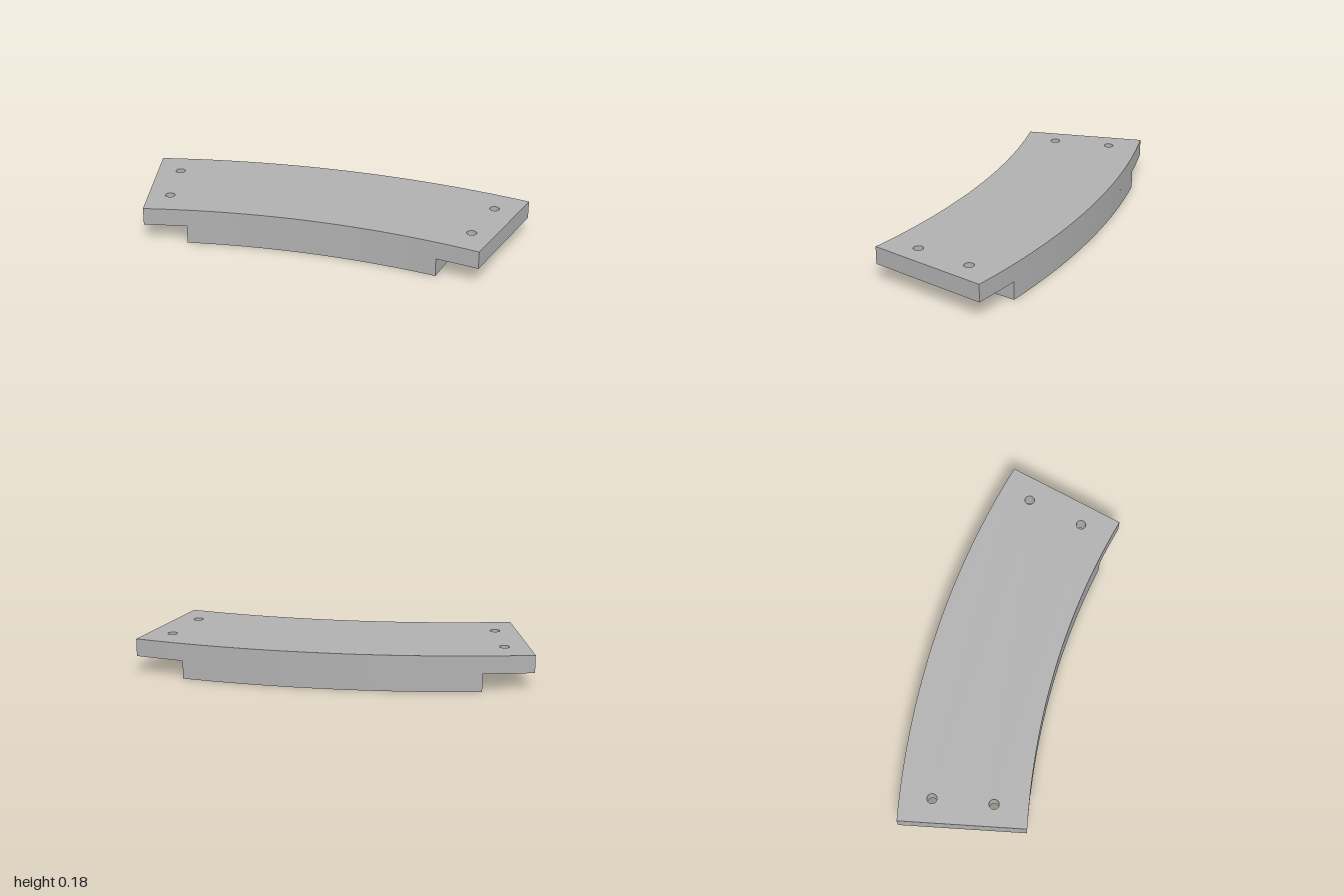
import * as THREE from 'three';

const OUTER = 4.445, INNER = 3.809; // arc radii
const CENTRE = 4.078;               // z of the shared arc centre
const SPLIT = 0.093, TOP = 0.183;   // step and top heights

// Ring sector symmetric about x = 0; shape y is -z.
function sector(halfDegrees) {
  const half = THREE.MathUtils.degToRad(halfDegrees);
  const shape = new THREE.Shape();
  shape.absarc(0, -CENTRE, OUTER, Math.PI / 2 - half, Math.PI / 2 + half, false);
  shape.absarc(0, -CENTRE, INNER, Math.PI / 2 + half, Math.PI / 2 - half, true);
  shape.closePath();
  return shape;
}

function slab(name, shape, bottom, top, material) {
  const geometry = new THREE.ExtrudeGeometry(shape, {
    depth: top - bottom, bevelEnabled: false, curveSegments: 28,
  });
  geometry.rotateX(-Math.PI / 2);
  geometry.translate(0, bottom, 0);
  const mesh = new THREE.Mesh(geometry, material);
  mesh.name = name;
  return mesh;
}

export function createModel() {
  const group = new THREE.Group();
  group.name = 'curvedSegment';
  const grey = new THREE.MeshStandardMaterial({ color: 0xb0b0b0 });
  grey.name = 'grey';

  // Upper plate with two bolt holes at each end
  const plate = sector(13);
  for (const side of [-1, 1]) {
    for (const [x, z] of [[0.845, -0.122], [0.785, 0.177]]) {
      const hole = new THREE.Path();
      hole.absarc(side * x, -z, 0.025, 0, Math.PI * 2, true);
      plate.holes.push(hole);
    }
  }
  group.add(slab('upperPlate', plate, SPLIT, TOP, grey));

  // Shorter lower block, leaving a stepped ledge at each end
  group.add(slab('lowerBlock', sector(9.7), 0, SPLIT, grey));
  return group;
}
